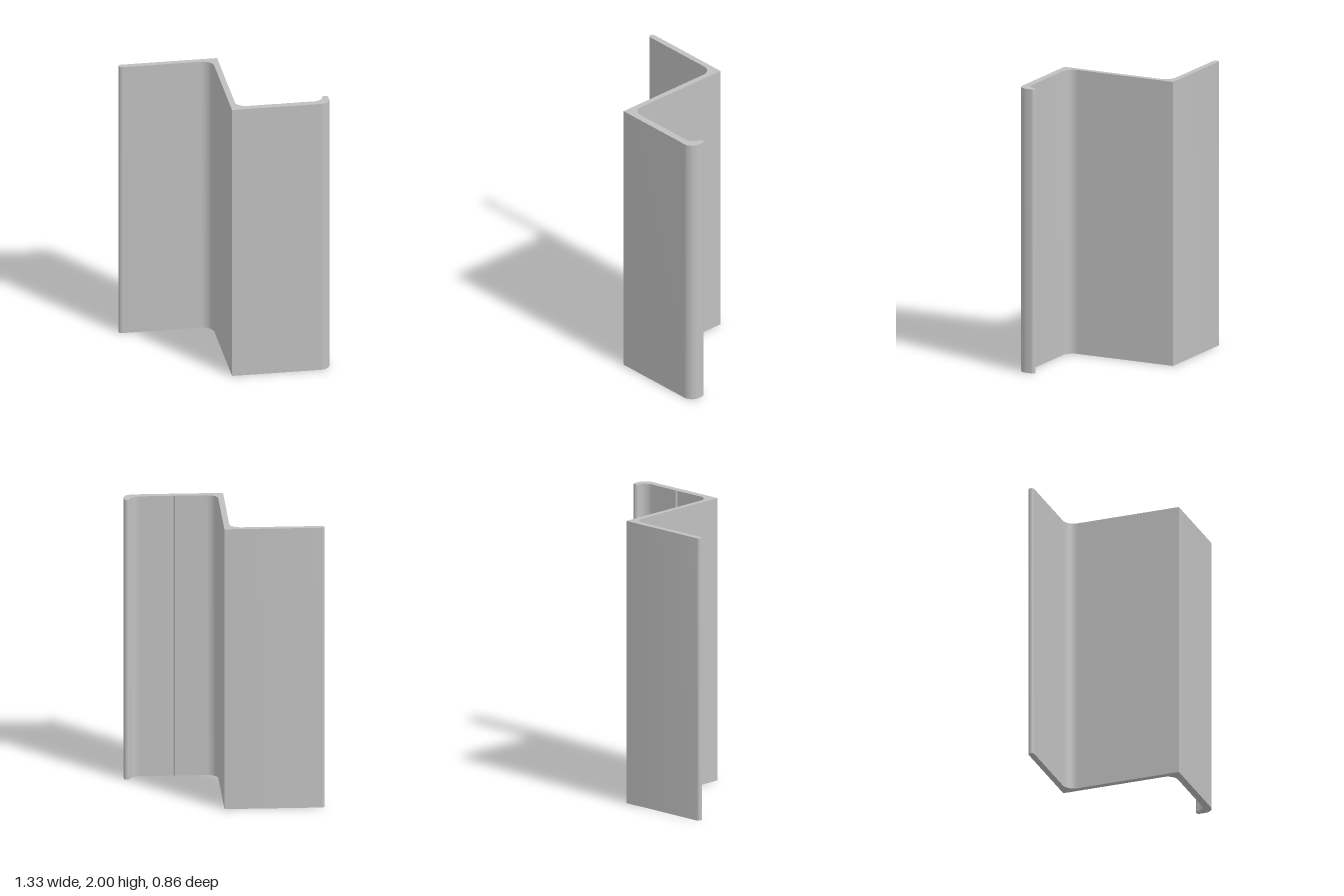
import * as THREE from 'three';
import { toCreasedNormals } from 'three/addons/utils/BufferGeometryUtils.js';

const HEIGHT = 2;

// Cross-section of the Z profile, drawn counter-clockwise (shape y is model -z)
function profileShape() {
  const { PI } = Math;
  const s = new THREE.Shape();

  // front flange, outer face and rounded outer corner
  s.moveTo(-0.02, -0.43);
  s.lineTo(0.595, -0.43);
  s.absarc(0.595, -0.36, 0.07, -PI / 2, 0, false);

  // returned lip with round tip and inner fillet
  s.absarc(0.644, -0.325, 0.021, 0, PI, false);
  s.absarc(0.555, -0.31, 0.07, -0.216, -PI / 2, true);

  // small drill-guide groove
  s.lineTo(0.329, -0.38);
  s.lineTo(0.321, -0.388);
  s.lineTo(0.313, -0.38);

  // fillet into the web, then its right face
  s.absarc(0.095, -0.305, 0.075, -PI / 2, -PI, true);
  s.lineTo(0.02, 0.432);

  // back flange with rounded end
  s.absarc(-0.645, 0.411, 0.021, PI / 2, PI * 1.5, false);

  // fillet into the web's left face
  s.absarc(-0.1, 0.31, 0.08, PI / 2, 0, true);
  s.closePath();
  return s;
}

export function createModel() {
  const aluminium = new THREE.MeshStandardMaterial({ color: 0xc0c0c0 });
  aluminium.name = 'light grey metal';

  const extrusion = new THREE.ExtrudeGeometry(profileShape(), {
    depth: HEIGHT,
    bevelEnabled: false,
    curveSegments: 14,
  });
  extrusion.rotateX(-Math.PI / 2); // stand it upright

  const profile = new THREE.Mesh(toCreasedNormals(extrusion, 0.5), aluminium);
  profile.name = 'zProfile';

  const model = new THREE.Group();
  model.name = 'extrudedProfile';
  model.add(profile);
  return model;
}
